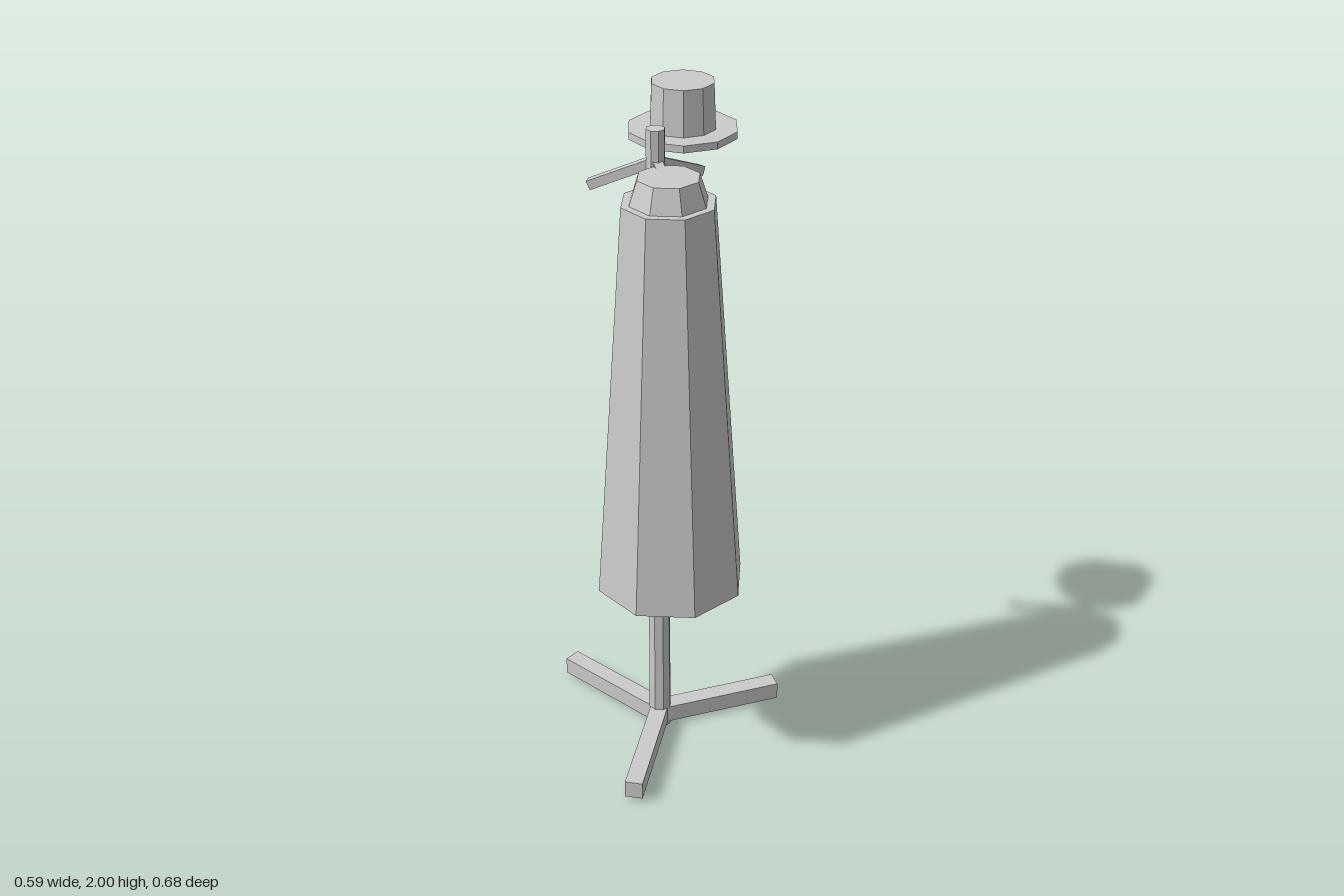
import * as THREE from 'three';

export function createModel() {
  const model = new THREE.Group();
  const grey = new THREE.MeshStandardMaterial({ color: 0xcccccc, flatShading: true });
  grey.name = 'plain grey';
  const poleX = -0.081;

  function add(name, geometry, x, y, z, parent = model) {
    const mesh = new THREE.Mesh(geometry, grey);
    mesh.name = name;
    mesh.position.set(x, y, z);
    parent.add(mesh);
    return mesh;
  }

  // Tapered prism standing between two heights
  function prism(name, rTop, rBottom, y0, y1, sides, x, z, parent) {
    const geometry = new THREE.CylinderGeometry(rTop, rBottom, y1 - y0, sides);
    geometry.rotateY(Math.PI / 2);
    return add(name, geometry, x, (y0 + y1) / 2, z, parent);
  }

  // Bar that starts at the pole axis, turned about it and sloping down
  function bar(name, length, height, width, y, turn, drop) {
    const geometry = new THREE.BoxGeometry(length, height, width);
    geometry.translate(length / 2, 0, 0);
    geometry.rotateZ(-drop);
    geometry.rotateY(turn);
    add(name, geometry, poleX, y, 0);
  }

  // Stand: pole, three feet and three sloping hooks
  prism('pole', 0.026, 0.034, 0, 1.915, 8, poleX, 0);
  for (let i = 0; i < 3; i++) {
    const turn = (i * Math.PI * 2) / 3;
    bar('foot', 0.376, 0.054, 0.052, 0.038, turn, 0);
    bar('hook', 0.195, 0.026, 0.026, 1.827, turn + Math.PI / 6, 0.41);
  }

  // Hanging coat with a collar
  const coat = new THREE.Group();
  coat.name = 'coat';
  coat.position.set(poleX, 0, 0.106);
  model.add(coat);
  prism('coatBody', 0.129, 0.214, 0.6, 1.755, 8, 0, 0, coat);
  prism('coatCollar', 0.085, 0.107, 1.755, 1.822, 8, 0, 0, coat);

  // Hat resting on the back hook
  const hat = new THREE.Group();
  hat.name = 'hat';
  hat.position.set(0.027, 0, -0.098);
  model.add(hat);
  prism('hatBrim', 0.15, 0.15, 1.855, 1.875, 10, 0, 0, hat);
  prism('hatCrown', 0.086, 0.091, 1.875, 2, 10, 0, 0, hat);

  return model;
}
